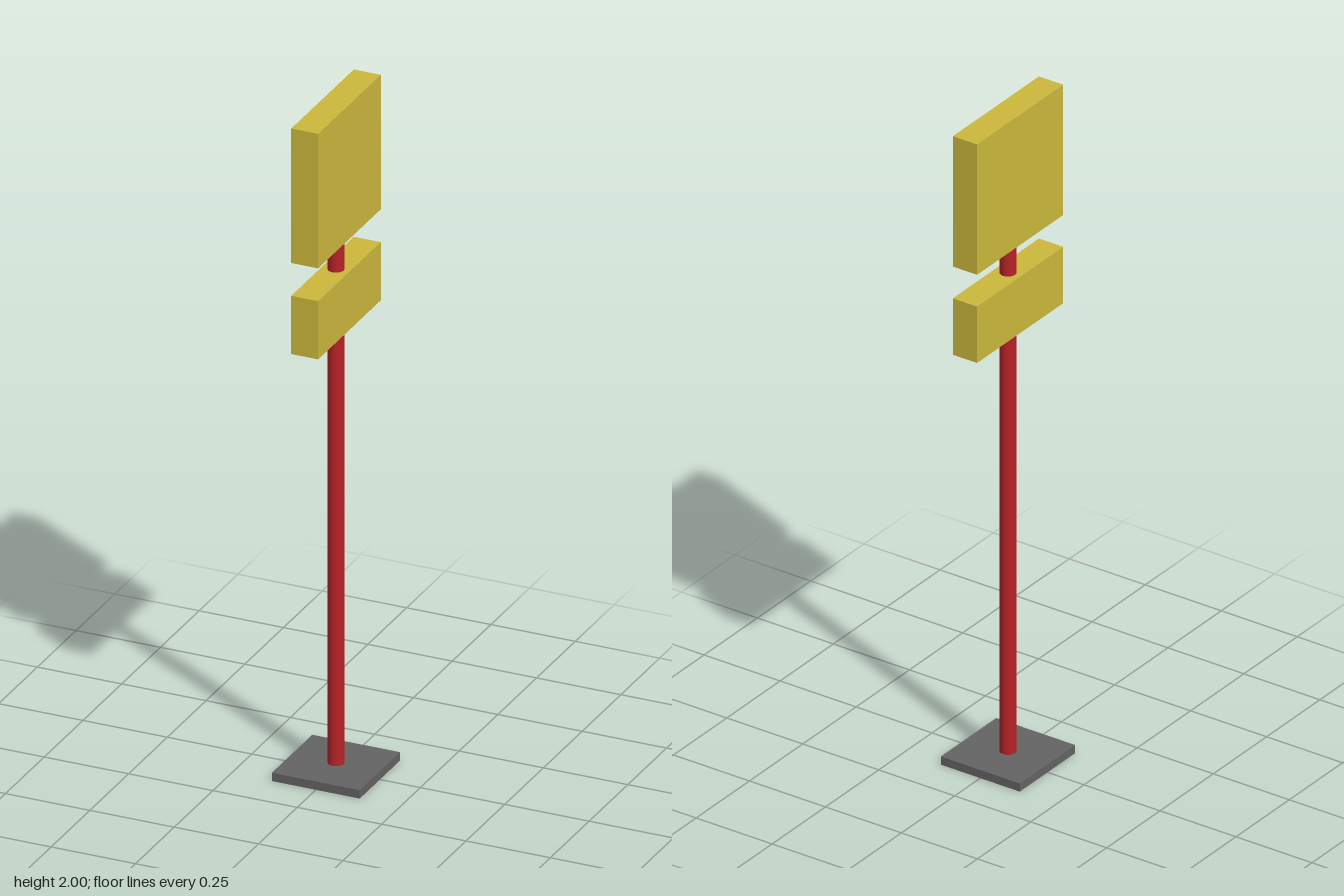
import * as THREE from 'three';

const material = (name, color) => {
  const m = new THREE.MeshStandardMaterial({ color });
  m.name = name;
  return m;
};

export function createModel() {
  const yellow = material('sign yellow', 0xccb83c);
  const red = material('pole red', 0xb82226);
  const grey = material('base grey', 0x636363);

  const model = new THREE.Group();
  model.name = 'signPost';

  const add = (name, geometry, mat, bottom, top) => {
    const mesh = new THREE.Mesh(geometry, mat);
    mesh.name = name;
    mesh.position.y = (bottom + top) / 2;
    model.add(mesh);
  };
  const addBox = (name, width, depth, bottom, top, mat) =>
    add(name, new THREE.BoxGeometry(width, top - bottom, depth), mat, bottom, top);

  // Square foot
  addBox('basePlate', 0.26, 0.26, 0, 0.025, grey);

  // Round pole, ending inside the upper sign
  add('pole', new THREE.CylinderGeometry(0.023, 0.023, 1.595, 16), red, 0.015, 1.61);

  // Two sign boxes, broad sides facing left and right
  addBox('lowerSign', 0.08, 0.404, 1.326, 1.5, yellow);
  addBox('upperSign', 0.08, 0.404, 1.598, 2, yellow);

  return model;
}
